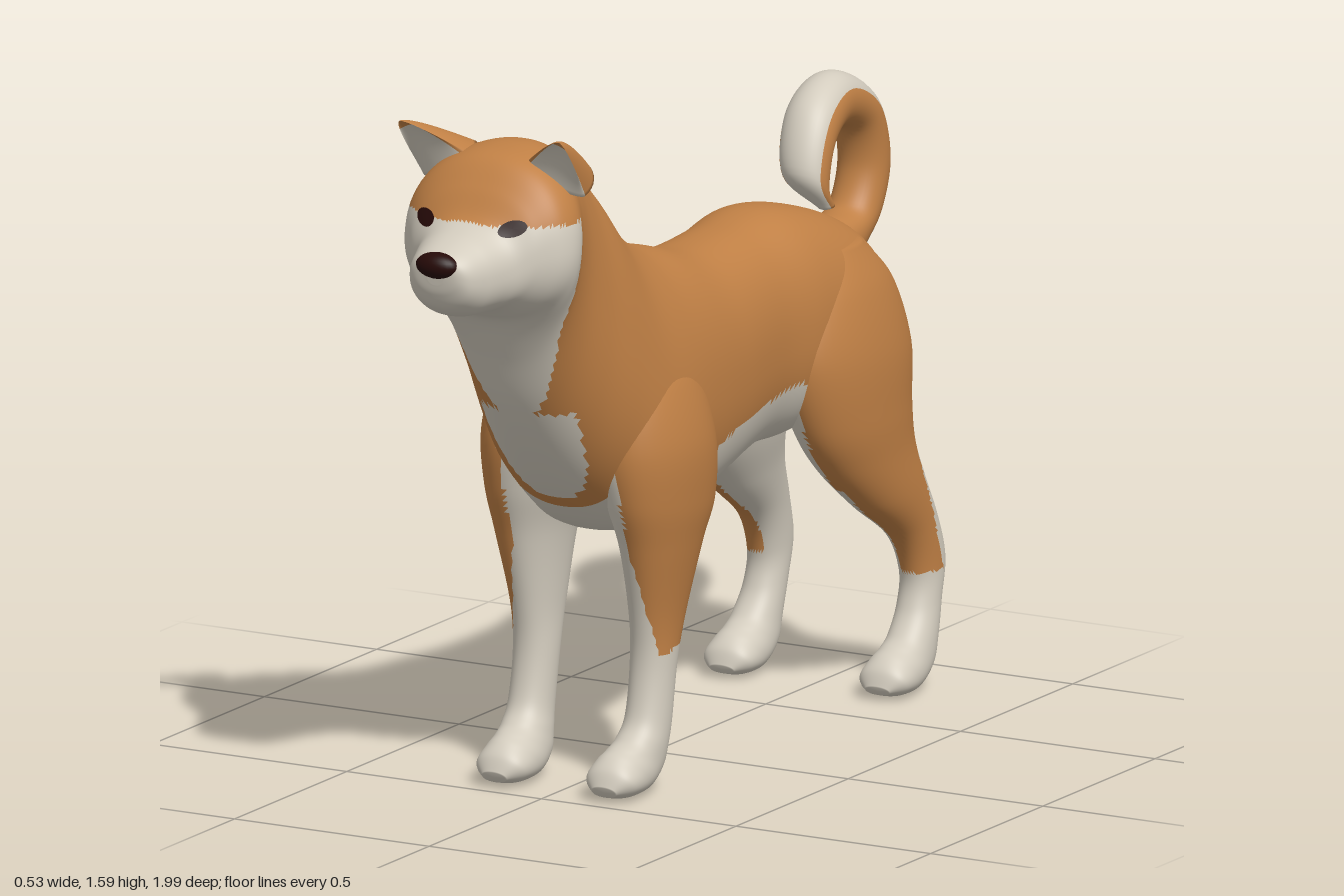
import * as THREE from 'three';

const mat = (name, color) => Object.assign(new THREE.MeshStandardMaterial({ color }), { name });

// Smooth closed tube from point(u, t); pick(p, t, u) returns the material index of a face
function surface(name, point, nu, nt, mats, pick, side = 1) {
  const pos = [], buckets = mats.map(() => []);
  const rings = [];
  for (let i = 0; i <= nu; i++) {
    const ring = [];
    for (let j = 0; j < nt; j++) ring.push(point(i / nu, (j / nt) * Math.PI * 2));
    rings.push(ring);
  }
  // Close both ends with a ring shrunk to its centre
  const centre = (ring) => {
    const c = new THREE.Vector3();
    ring.forEach((p) => c.addScaledVector(p, 1 / nt));
    return ring.map(() => c);
  };
  rings.unshift(centre(rings[0]));
  rings.push(centre(rings[rings.length - 1]));
  rings.flat().forEach((p) => pos.push(p.x * side, p.y, p.z));
  for (let i = 0; i < rings.length - 1; i++) {
    for (let j = 0; j < nt; j++) {
      const k = (j + 1) % nt;
      const at = (r, c) => ({ id: r * nt + c, p: rings[r][c] });
      const a = at(i, j), b = at(i, k), c = at(i + 1, j), d = at(i + 1, k);
      const faces = [];
      if (i > 0) faces.push([a, b, c]);
      if (i < rings.length - 2) faces.push([b, d, c]);
      for (const f of faces) {
        const m = new THREE.Vector3();
        f.forEach((v) => m.addScaledVector(v.p, 1 / 3));
        const ids = f.map((v) => v.id);
        if (side < 0) ids.reverse();
        buckets[pick(m, ((j + 0.5) / nt) * Math.PI * 2, (i - 0.5) / nu)].push(...ids);
      }
    }
  }
  const geo = new THREE.BufferGeometry();
  geo.setAttribute('position', new THREE.Float32BufferAttribute(pos, 3));
  geo.setIndex(buckets.flat());
  let start = 0;
  buckets.forEach((b, i) => { geo.addGroup(start, b.length, i); start += b.length; });
  geo.computeVertexNormals();
  const mesh = new THREE.Mesh(geo, mats);
  mesh.name = name;
  return mesh;
}

// Sections: [zA, yA, zB, yB, x, halfWidth, taper]; A and B are opposite edges of the outline
function loft(name, secs, power, nt, mats, pick, side) {
  const n = secs.length - 1;
  const val = (u, k) => {
    const f = Math.min(u * n, n - 1e-6), i = Math.floor(f), t = f - i;
    const g = (q) => secs[Math.max(0, Math.min(n, q))][k] ?? 0;
    const p0 = g(i - 1), p1 = g(i), p2 = g(i + 1), p3 = g(i + 2);
    return p1 + 0.5 * t * (p2 - p0 + t * (2 * p0 - 5 * p1 + 4 * p2 - p3 + t * (3 * (p1 - p2) + p3 - p0)));
  };
  const pw = (v) => Math.sign(v) * Math.abs(v) ** (2 / power);
  const point = (u, t) => {
    const [za, ya, zb, yb, x, w, k] = [0, 1, 2, 3, 4, 5, 6].map((c) => val(u, c));
    const s = pw(Math.sin(t));
    return new THREE.Vector3(
      x + w * pw(Math.cos(t)) * (1 - k * s),
      (ya + yb) / 2 + ((ya - yb) / 2) * s,
      (za + zb) / 2 + ((za - zb) / 2) * s);
  };
  return surface(name, point, n * 8, nt, mats, pick, side);
}

// Rump to muzzle: top edge, bottom edge
const BODY = [
  [-.825, .89, -.825, .78, 0, .05], [-.80, .97, -.80, .70, 0, .14], [-.74, 1.06, -.72, .65, 0, .19],
  [-.61, 1.12, -.58, .64, 0, .205], [-.45, 1.155, -.42, .63, 0, .2], [-.29, 1.14, -.29, .63, 0, .182],
  [-.10, 1.135, -.10, .59, 0, .198], [.06, 1.175, .04, .565, 0, .212, .05], [.19, 1.215, .18, .56, 0, .222, .12],
  [.30, 1.29, .31, .58, 0, .215, .18], [.40, 1.40, .43, .675, 0, .198, .15], [.47, 1.46, .53, .79, 0, .18, .08],
  [.53, 1.51, .62, .925, 0, .172], [.59, 1.535, .68, 1.05, 0, .185], [.66, 1.537, .73, 1.14, 0, .213, .06],
  [.73, 1.52, .77, 1.17, 0, .205, .06], [.785, 1.465, .815, 1.19, 0, .165], [.835, 1.40, .85, 1.19, 0, .125],
  [.90, 1.375, .905, 1.195, 0, .1], [.95, 1.355, .945, 1.22, 0, .08], [.972, 1.34, .965, 1.255, 0, .055],
  [.978, 1.32, .972, 1.28, 0, .02],
];
// Shoulder to toe: front edge, back edge
const FRONT_LEG = [
  [.30, 1.02, .20, 1.02, .12, .04], [.40, .93, .10, .93, .13, .09], [.43, .80, .06, .78, .14, .118],
  [.41, .67, .07, .64, .155, .1], [.37, .55, .115, .55, .16, .077], [.33, .39, .165, .39, .153, .055],
  [.32, .28, .20, .28, .15, .05], [.34, .17, .225, .15, .15, .05], [.375, .125, .238, .09, .147, .054],
  [.41, .108, .255, .04, .143, .058], [.435, .095, .32, .003, .141, .064], [.46, .07, .41, 0, .141, .061],
  [.475, .035, .46, .01, .141, .03],
];
// Hip to toe
const HIND_LEG = [
  [-.50, 1.05, -.68, 1.05, .12, .05], [-.40, .95, -.78, .95, .13, .09], [-.36, .82, -.83, .80, .14, .112],
  [-.41, .66, -.815, .67, .155, .1], [-.49, .55, -.82, .575, .165, .085], [-.61, .445, -.845, .49, .18, .068],
  [-.745, .35, -.89, .39, .19, .052], [-.795, .255, -.92, .29, .195, .047], [-.785, .18, -.90, .2, .197, .047],
  [-.745, .125, -.875, .11, .2, .052], [-.71, .105, -.85, .045, .2, .057], [-.68, .09, -.78, .003, .2, .063],
  [-.655, .065, -.70, 0, .2, .06], [-.642, .03, -.655, .01, .2, .03],
];
// Base to tip: outer rim, inner rim
const TAIL = [
  [-.79, .88, -.70, 1.05, 0, .07], [-.87, .955, -.77, 1.055, 0, .064], [-.957, 1.04, -.84, 1.07, 0, .06],
  [-.995, 1.165, -.88, 1.15, 0, .06], [-.94, 1.31, -.86, 1.235, 0, .06], [-.79, 1.39, -.785, 1.26, 0, .064],
  [-.65, 1.34, -.705, 1.225, .012, .066], [-.583, 1.2, -.67, 1.15, .03, .055], [-.64, 1.11, -.675, 1.12, .065, .02],
];

// Colour borders: 1 is cream, 0 is tan
function bodyColour({ x, y, z }) {
  if (z > .67) return +(y < 1.392 || z > .84);
  if (y > .91) return +((z > .61 + .26 * (y - .92) && y < 1.2) || (z < -.74 && Math.abs(x) < .1 && y < .94));
  if (z > .4) return +(z > .56 - (.91 - y) * .56);
  if (z > -.42) return +(y < (z > .06 ? .7 : .75 - .12 * Math.max(-.3, z)));
  return +(y < .72 || (z < -.74 && Math.abs(x) < .11));
}
const frontLegColour = ({ x, y, z }) =>
  +(y < .38 - .25 * z || (y < .88 && x < (y > .55 ? .15 : .15 + .16 * (.55 - y))));
const hindLegColour = ({ x, y, z }) =>
  +(y < .26 || (y < .54 && z < -.785 - (.54 - y) * .32) || (y < .9 && x < (y > .5 ? .15 : .175)));

export function createModel() {
  const tan = mat('tanFur', 0xc08045);
  const cream = mat('creamFur', 0xd3ccbe);
  const dark = mat('darkBrown', 0x260a08);
  const fur = [tan, cream];
  const dog = new THREE.Group();
  dog.name = 'dog';

  const body = loft('bodyAndHead', BODY, 2.25, 96, fur, bodyColour);
  dog.add(body);
  dog.add(loft('curledTail', TAIL, 2, 40, fur, (p, t) => +(Math.sin(t) > .5)));

  // Nose
  const nose = new THREE.Mesh(new THREE.SphereGeometry(1, 24, 16), dark);
  nose.scale.set(.053, .03, .032);
  nose.position.set(0, 1.323, .962);
  nose.name = 'nose';
  dog.add(nose);

  // Thin eye discs that follow the face
  const ray = new THREE.Raycaster();
  const faceDepth = (x, y) => {
    ray.set(new THREE.Vector3(x, y, 2), new THREE.Vector3(0, 0, -1));
    const hit = ray.intersectObject(body)[0];
    return hit ? hit.point.z : .74;
  };

  for (const side of [1, -1]) {
    const label = side > 0 ? 'left' : 'right';
    dog.add(loft(label + 'FrontLeg', FRONT_LEG, 2.1, 48, fur, frontLegColour, side));
    dog.add(loft(label + 'HindLeg', HIND_LEG, 2.1, 48, fur, hindLegColour, side));

    const eyeGeo = new THREE.RingGeometry(.001, 1, 24, 4);
    const e = eyeGeo.attributes.position;
    for (let i = 0; i < e.count; i++) {
      const x = side * .112 + e.getX(i) * .029, y = 1.39 + e.getY(i) * .018 + side * e.getX(i) * .003;
      e.setXYZ(i, x, y, faceDepth(x, y) + .008);
    }
    eyeGeo.computeVertexNormals();
    const eye = new THREE.Mesh(eyeGeo, dark);
    eye.name = label + 'Eye';
    dog.add(eye);

    // Ear: forward-leaning cone with a hollow cream front
    const base = new THREE.Vector3(.137, 1.475, .675), tip = new THREE.Vector3(.205, 1.587, .775);
    const earPoint = (u, t) => {
      const r = (1 - u) ** .75 + .06, c = Math.cos(t), s = Math.sin(t);
      const depth = s > 0 ? .085 * s : .022 * s * (1 - 2.2 * u);
      return base.clone().lerp(tip, u).add(new THREE.Vector3(
        .066 * c * r + .01 * Math.max(0, s) * r,
        (-.03 * c + .35 * depth) * r,
        -depth * r - .012 * c * r));
    };
    dog.add(surface(label + 'Ear', earPoint, 16, 40, fur,
      (p, t, u) => +(Math.sin(t) < 0 && Math.cos(t) > -.86 && u < .88), side));
  }
  return dog;
}
